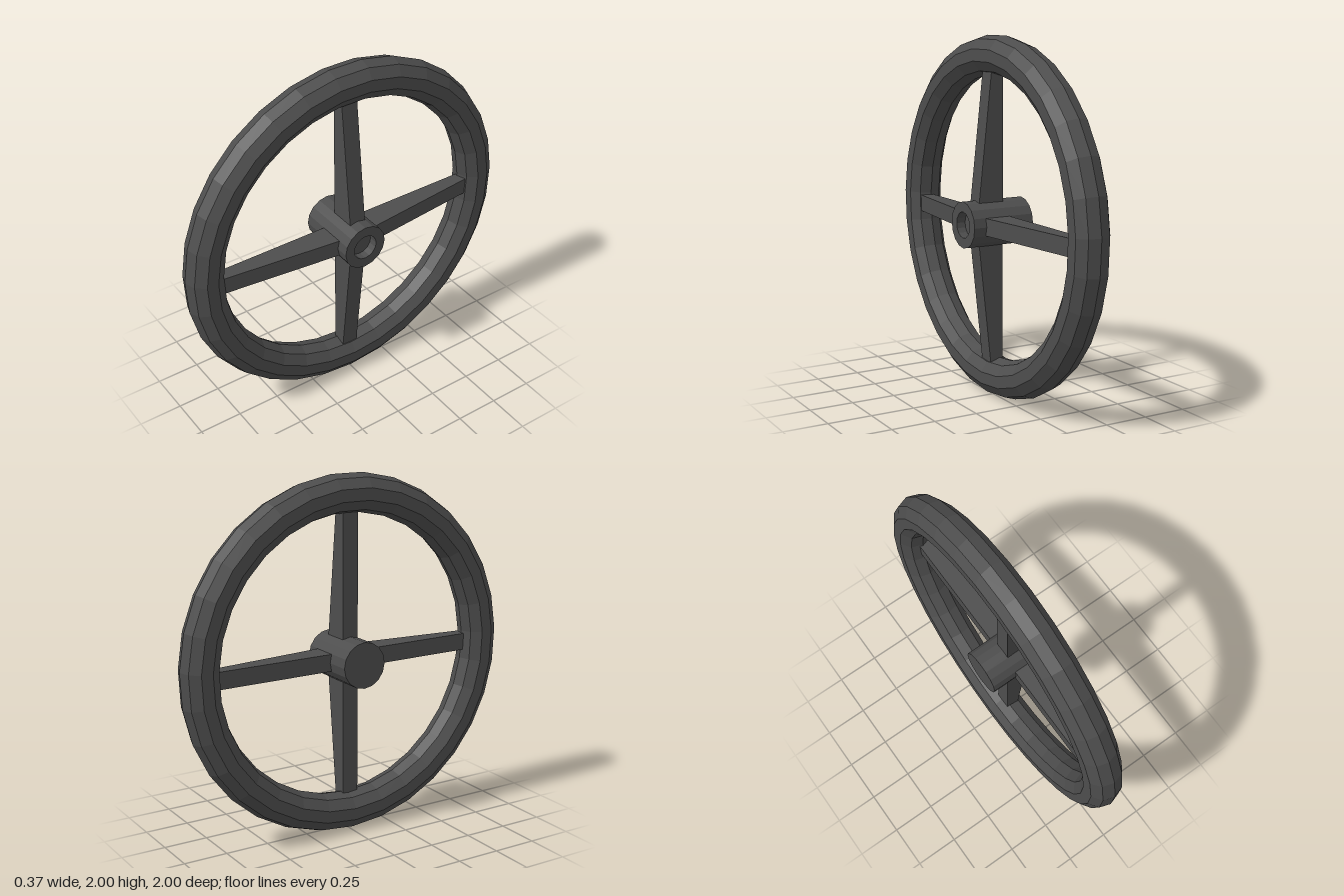
import * as THREE from 'three';

// Give a geometry one normal per face
function faceted(geometry) {
  const g = geometry.index ? geometry.toNonIndexed() : geometry;
  g.computeVertexNormals();
  return g;
}

export function createModel() {
  const model = new THREE.Group();
  model.name = 'handwheel';

  const darkGrey = new THREE.MeshStandardMaterial({ color: 0x4d4d4d });
  darkGrey.name = 'darkGrey';

  // Rim: ten-sided section, standing in the YZ plane with a corner at the bottom
  const rimGeometry = new THREE.TorusGeometry(0.895, 0.107, 10, 31);
  rimGeometry.rotateZ(-Math.PI / 2);
  rimGeometry.rotateY(Math.PI / 2);
  const rim = new THREE.Mesh(faceted(rimGeometry), darkGrey);
  rim.name = 'rim';
  rim.position.set(-0.023, 1.002, 0);
  model.add(rim);

  // Hub and spokes share a centre set slightly off the rim's
  const centre = new THREE.Group();
  centre.name = 'hubAndSpokes';
  centre.position.set(0, 0.98, 0.012);
  model.add(centre);

  // Hub: closed at -x, with a shallow round socket at +x
  const profile = [
    [0, -0.185], [0.129, -0.185], [0.129, 0.182],
    [0.072, 0.182], [0.072, 0.13], [0, 0.13],
  ].map(([r, h]) => new THREE.Vector2(r, h));
  const hubGeometry = new THREE.LatheGeometry(profile, 16);
  hubGeometry.rotateZ(-Math.PI / 2);
  const hub = new THREE.Mesh(faceted(hubGeometry), darkGrey);
  hub.name = 'hub';
  centre.add(hub);

  // Spokes: flat at the back, tapering at the front towards the rim
  const width = 0.096;
  const side = new THREE.Shape([
    new THREE.Vector2(-0.04, 0),
    new THREE.Vector2(0.121, 0),
    new THREE.Vector2(0.03, 0.84),
    new THREE.Vector2(-0.04, 0.84),
  ]);
  const spokeGeometry = new THREE.ExtrudeGeometry(side, { depth: width, bevelEnabled: false });
  spokeGeometry.translate(0, 0, -width / 2);
  for (let i = 0; i < 4; i++) {
    const spoke = new THREE.Mesh(spokeGeometry, darkGrey);
    spoke.name = `spoke${i + 1}`;
    spoke.rotation.x = (i * Math.PI) / 2;
    centre.add(spoke);
  }

  return model;
}
